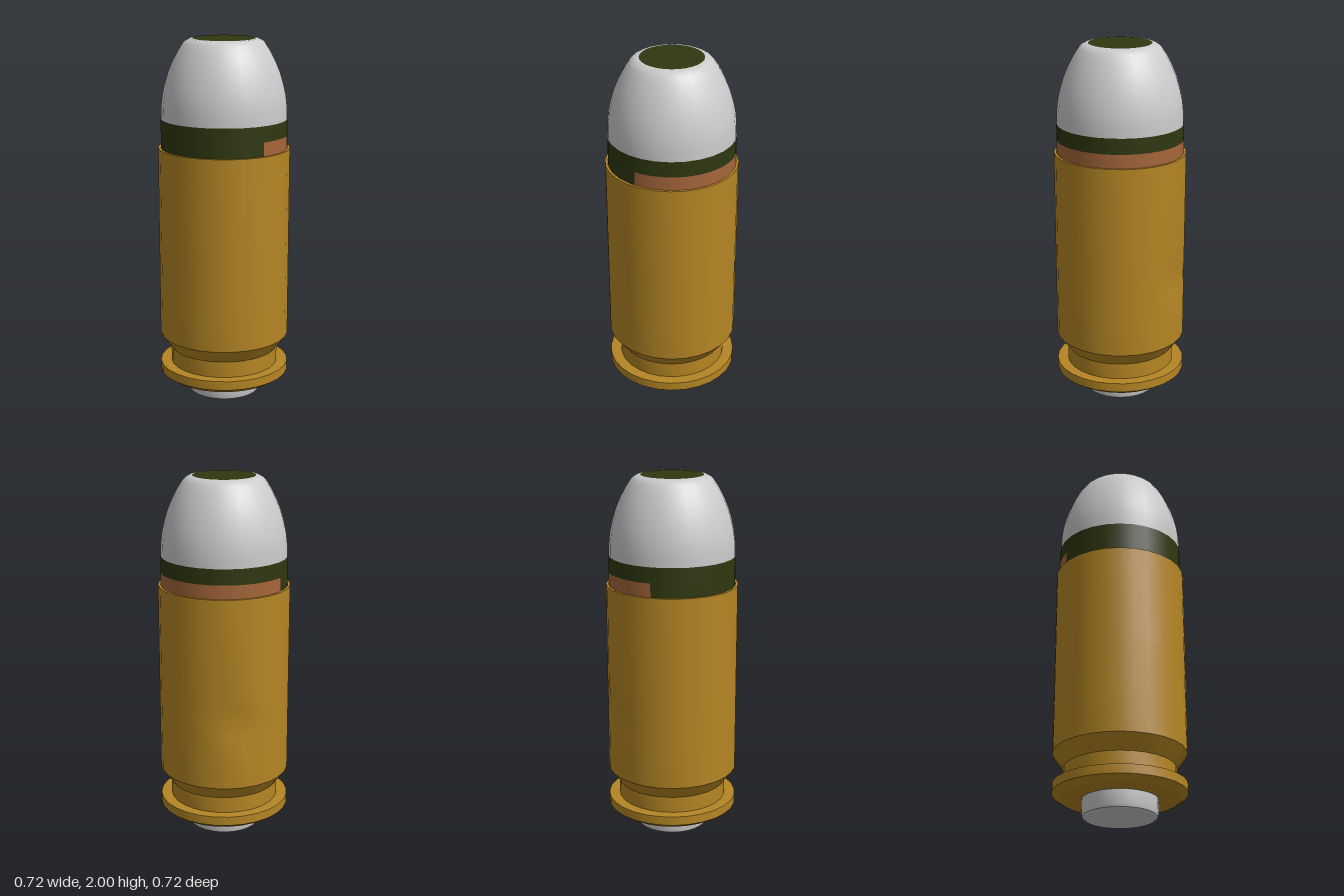
import * as THREE from 'three';
import { toCreasedNormals } from 'three/addons/utils/BufferGeometryUtils.js';

const SIDES = 28;
const BRASS = 0xb58624, GREEN = 0x2f3810, COPPER = 0xa5663a, GREY = 0xcccccc;

const paint = (color) => new THREE.MeshStandardMaterial({ color });

// Turned part from a profile of [radius, y] pairs, bottom to top
function turned(name, profile, color, reshape) {
  const lathe = new THREE.LatheGeometry(profile.map(([r, y]) => new THREE.Vector2(r, y)), SIDES);
  if (reshape) reshape(lathe);
  const mesh = new THREE.Mesh(toCreasedNormals(lathe, 0.45), paint(color));
  mesh.name = name;
  return mesh;
}

// Open band wrapped around the axis
function band(name, radius, y0, y1, color, start = 0, sweep = Math.PI * 2) {
  const geo = new THREE.CylinderGeometry(radius, radius, y1 - y0, SIDES, 1, true, start, sweep);
  const mesh = new THREE.Mesh(geo, paint(color));
  mesh.material.side = THREE.DoubleSide;
  mesh.position.y = (y0 + y1) / 2;
  mesh.name = name;
  return mesh;
}

// Shallow dent in the case wall, toward +x -z
function dent(geo) {
  const p = geo.attributes.position;
  const centre = new THREE.Vector3(0.255, 0.72, -0.255), v = new THREE.Vector3();
  for (let i = 0; i < p.count; i++) {
    v.fromBufferAttribute(p, i);
    const d = v.distanceTo(centre) / 0.14;
    if (d >= 1) continue;
    const k = 1 - 0.04 * (1 - d * d);
    p.setXYZ(i, v.x * k, v.y, v.z * k);
  }
}

export function createModel() {
  const group = new THREE.Group();
  group.name = 'cartridge';

  // Case: rim, extractor groove, taper, straight wall and open mouth
  const wall = [0.35, 0.58, 0.65, 0.72, 0.79, 0.86, 1.41].map((y) => [0.36, y]);
  group.add(turned('case', [
    [0, 0.1], [0.315, 0.1], [0.36, 0.13], [0.36, 0.18], [0.3, 0.18], [0.3, 0.27],
    ...wall, [0.346, 1.41], [0.341, 1.38],
  ], BRASS, dent));

  // Primer with a softened lower edge
  group.add(turned('primer', [
    [0, 0], [0.185, 0], [0.197, 0.008], [0.202, 0.025], [0.202, 0.11],
  ], GREY));

  // Rounded nose
  group.add(turned('bullet', [
    [0.34, 1.38], [0.343, 1.57], [0.341, 1.64], [0.334, 1.7], [0.32, 1.76], [0.302, 1.82],
    [0.277, 1.88], [0.248, 1.935], [0.222, 1.974], [0.207, 1.989], [0.188, 1.998], [0.17, 2],
  ], GREY));

  // Flat tip
  const tip = new THREE.Mesh(new THREE.CircleGeometry(0.17, SIDES), paint(GREEN));
  tip.rotation.x = -Math.PI / 2;
  tip.position.y = 2;
  tip.name = 'tip';
  group.add(tip);

  // Bands between case and nose; the copper one covers the +x half
  group.add(band('greenBand', 0.3445, 1.39, 1.57, GREEN));
  group.add(band('copperBand', 0.346, 1.39, 1.485, COPPER, -0.12, Math.PI + 0.2));

  return group;
}
